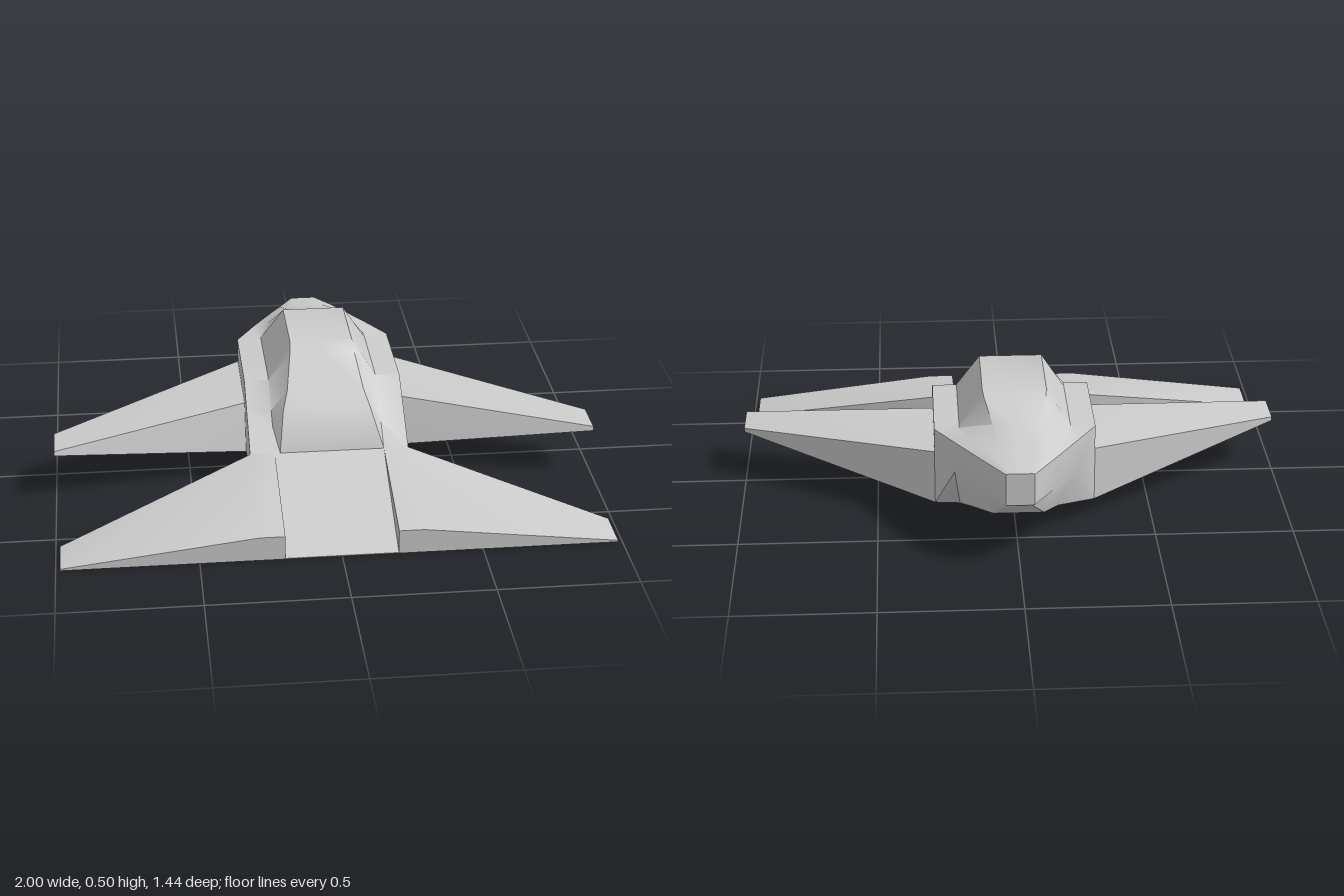
import * as THREE from 'three';
import { toCreasedNormals } from 'three/addons/utils/BufferGeometryUtils.js';

const material = new THREE.MeshStandardMaterial({ color: 0xcccccc });

// Skins a list of equal-length rings of [x, y, z], caps both ends, and faces outward.
function loft(rings, crease) {
  const tris = [];
  const n = rings[0].length;
  for (let i = 0; i < rings.length - 1; i++) {
    for (let j = 0; j < n; j++) {
      const k = (j + 1) % n;
      const a = rings[i][j], b = rings[i][k], c = rings[i + 1][k], d = rings[i + 1][j];
      tris.push([a, b, c], [a, c, d]);
    }
  }
  const cap = (ring, flip) => {
    const mid = [0, 1, 2].map(c => ring.reduce((sum, p) => sum + p[c], 0) / n);
    ring.forEach((p, j) => {
      const q = ring[(j + 1) % n];
      tris.push(flip ? [mid, q, p] : [mid, p, q]);
    });
  };
  cap(rings[0], true);
  cap(rings[rings.length - 1], false);

  // signed volume decides the winding, so mirrored parts work too
  const v = p => new THREE.Vector3(...p);
  const volume = tris.reduce((sum, [a, b, c]) => sum + v(a).dot(v(b).cross(v(c))), 0);
  if (volume < 0) tris.forEach(t => t.reverse());

  const geometry = new THREE.BufferGeometry();
  geometry.setAttribute('position', new THREE.Float32BufferAttribute(tris.flat(2), 3));
  return toCreasedNormals(geometry, crease);
}

function addPart(parent, name, geometry) {
  const mesh = new THREE.Mesh(geometry, material);
  mesh.name = name;
  parent.add(mesh);
}

// Half cross-section: roof, canopy base, shoulder, lower side, belly
function hullRing([z, roofX, roofY, baseX, baseY, sideX, sideY, lowY, bellyX, bellyY]) {
  const half = [[roofX, roofY], [baseX, baseY], [sideX, sideY], [sideX, lowY], [bellyX, bellyY]];
  const left = half.map(([x, y]) => [x, y, z]);
  const right = half.map(([x, y]) => [-x, y, z]).reverse();
  return [[0, roofY, z], ...left, [0, bellyY, z], ...right];
}

// A wing section at span x, from leading and trailing [z, top, bottom]
const wingRing = (x, [z0, t0, b0], [z1, t1, b1, zb = z1]) =>
  [[x, t0, z0], [x, t1, z1], [x, b1, zb], [x, b0, z0]];

export function createModel() {
  const model = new THREE.Group();
  model.name = 'spacecraft';

  // Main hull, narrow end to the start of the sloping deck
  const hull = [
    [-0.72, 0.035, 0.37, 0.043, 0.37, 0.05, 0.368, 0.25, 0.04, 0.248],
    [-0.6, 0.06, 0.39, 0.105, 0.385, 0.13, 0.368, 0.25, 0.09, 0.155],
    [-0.46, 0.085, 0.436, 0.165, 0.378, 0.22, 0.368, 0.25, 0.15, 0.107],
    [-0.345, 0.11, 0.485, 0.2, 0.37, 0.29, 0.366, 0.07, 0.2, 0.065],
    [-0.31, 0.115, 0.5, 0.2, 0.37, 0.29, 0.366, 0.072, 0.2, 0.064],
    [-0.01, 0.115, 0.5, 0.2, 0.37, 0.29, 0.366, 0.088, 0.2, 0.052],
    [0.03, 0.12, 0.466, 0.2, 0.368, 0.29, 0.366, 0.09, 0.2, 0.05],
    [0.14, 0.14, 0.372, 0.2, 0.297, 0.29, 0.293, 0.095, 0.2, 0.045],
    [0.2, 0.16, 0.32, 0.2, 0.258, 0.29, 0.254, 0.097, 0.2, 0.032],
    [0.29, 0.18, 0.195, 0.2, 0.195, 0.29, 0.194, 0.1, 0.2, 0.015],
  ];
  addPart(model, 'hull', loft(hull.map(hullRing), 0.8));

  // Deck sloping down to a thin edge between the broad wings
  const deckRing = (z, top, bottom) =>
    [[-0.2, top, z], [0.2, top, z], [0.2, bottom, z], [-0.2, bottom, z]];
  addPart(model, 'slopingDeck', loft([
    deckRing(0.29, 0.195, 0.015), deckRing(0.57, 0.07, 0.005), deckRing(0.72, 0.003, 0),
  ], 0.4));

  for (const [side, s] of [['left', 1], ['right', -1]]) {
    // Broad wing beside the deck
    addPart(model, side + 'DeckWing', loft([
      wingRing(s * 0.2, [0.29, 0.195, 0.015], [0.72, 0.09, 0]),
      wingRing(s * 0.29, [0.29, 0.195, 0.1], [0.72, 0.09, 0]),
      wingRing(s * 0.985, [0.56, 0.006, 0], [0.72, 0.006, 0]),
    ], 0.4));

    // Swept wing with a slanting trailing face
    addPart(model, side + 'SweptWing', loft([
      wingRing(s * 0.25, [-0.345, 0.275, 0.07], [0.02, 0.275, 0.09, 0.06]),
      wingRing(s * 0.29, [-0.345, 0.275, 0.07], [0.025, 0.275, 0.095, 0.07]),
      wingRing(s * 1.0, [0.05, 0.195, 0.18], [0.195, 0.195, 0.18, 0.2]),
    ], 0.4));
  }
  return model;
}
